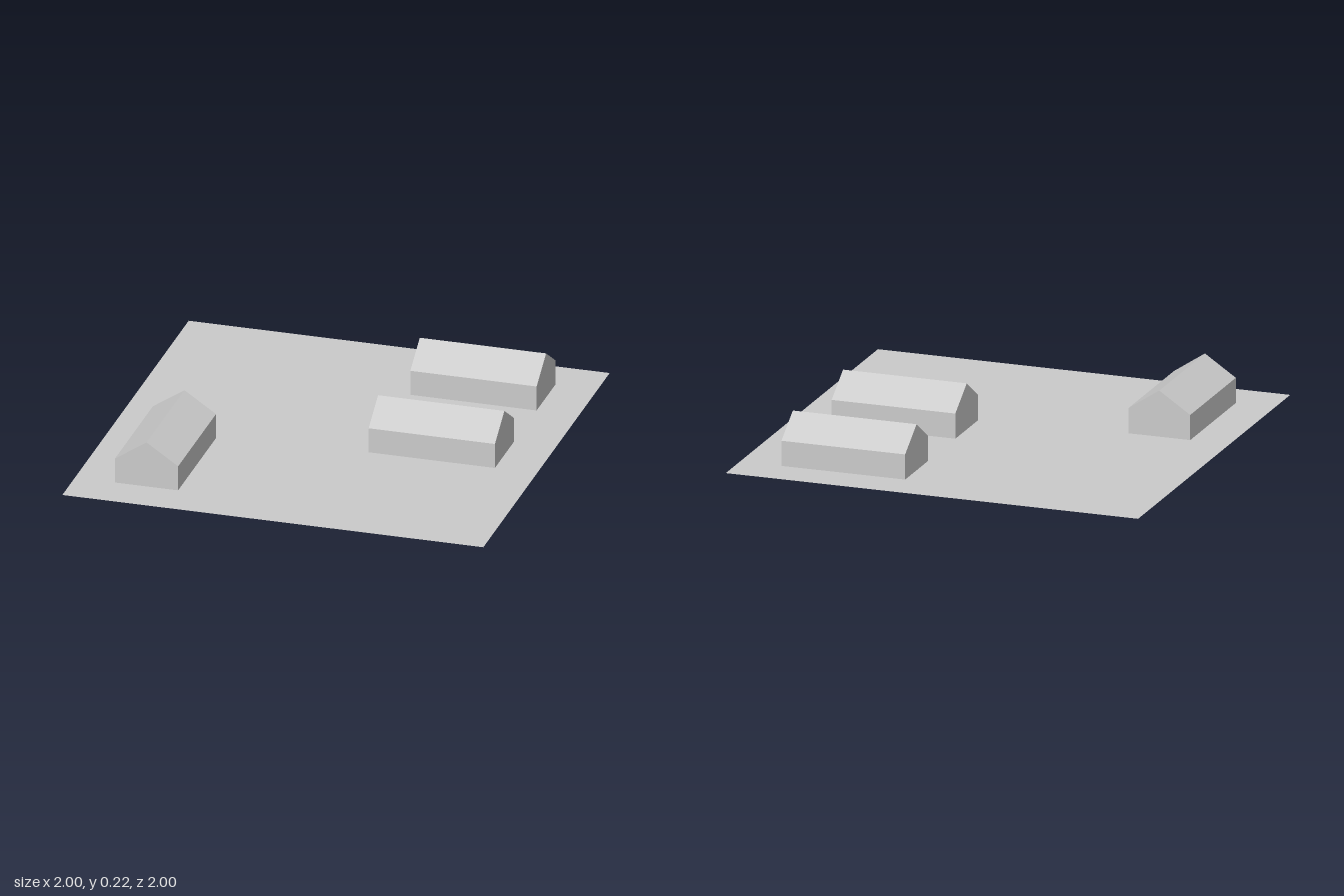
import * as THREE from 'three';

const WIDTH = 0.3, LENGTH = 0.6, EAVE = 0.12, RIDGE = 0.22;

export function createModel() {
  const model = new THREE.Group();
  model.name = 'farmyard';
  const material = new THREE.MeshStandardMaterial({ color: 0xcccccc, flatShading: true });

  // Flat, paper-thin plot of land
  const groundMaterial = material.clone();
  groundMaterial.side = THREE.DoubleSide;
  const ground = new THREE.Mesh(new THREE.PlaneGeometry(2, 2).rotateX(-Math.PI / 2), groundMaterial);
  ground.name = 'ground';
  model.add(ground);

  // Gabled end wall, extruded along the ridge
  const gable = new THREE.Shape([
    new THREE.Vector2(-WIDTH / 2, 0),
    new THREE.Vector2(WIDTH / 2, 0),
    new THREE.Vector2(WIDTH / 2, EAVE),
    new THREE.Vector2(0, RIDGE),
    new THREE.Vector2(-WIDTH / 2, EAVE),
  ]);
  const barnGeometry = new THREE.ExtrudeGeometry(gable, { depth: LENGTH, bevelEnabled: false });
  barnGeometry.translate(0, 0, -LENGTH / 2);

  // Three equal barns: two with the ridge along x, one along z
  const barns = [
    ['backBarn', 0.5, -0.66, Math.PI / 2],
    ['middleBarn', 0.5, 0, Math.PI / 2],
    ['frontBarn', -0.66, 0.5, 0],
  ];
  for (const [name, x, z, turn] of barns) {
    const barn = new THREE.Mesh(barnGeometry, material);
    barn.name = name;
    barn.position.set(x, 0, z);
    barn.rotation.y = turn;
    model.add(barn);
  }
  return model;
}
